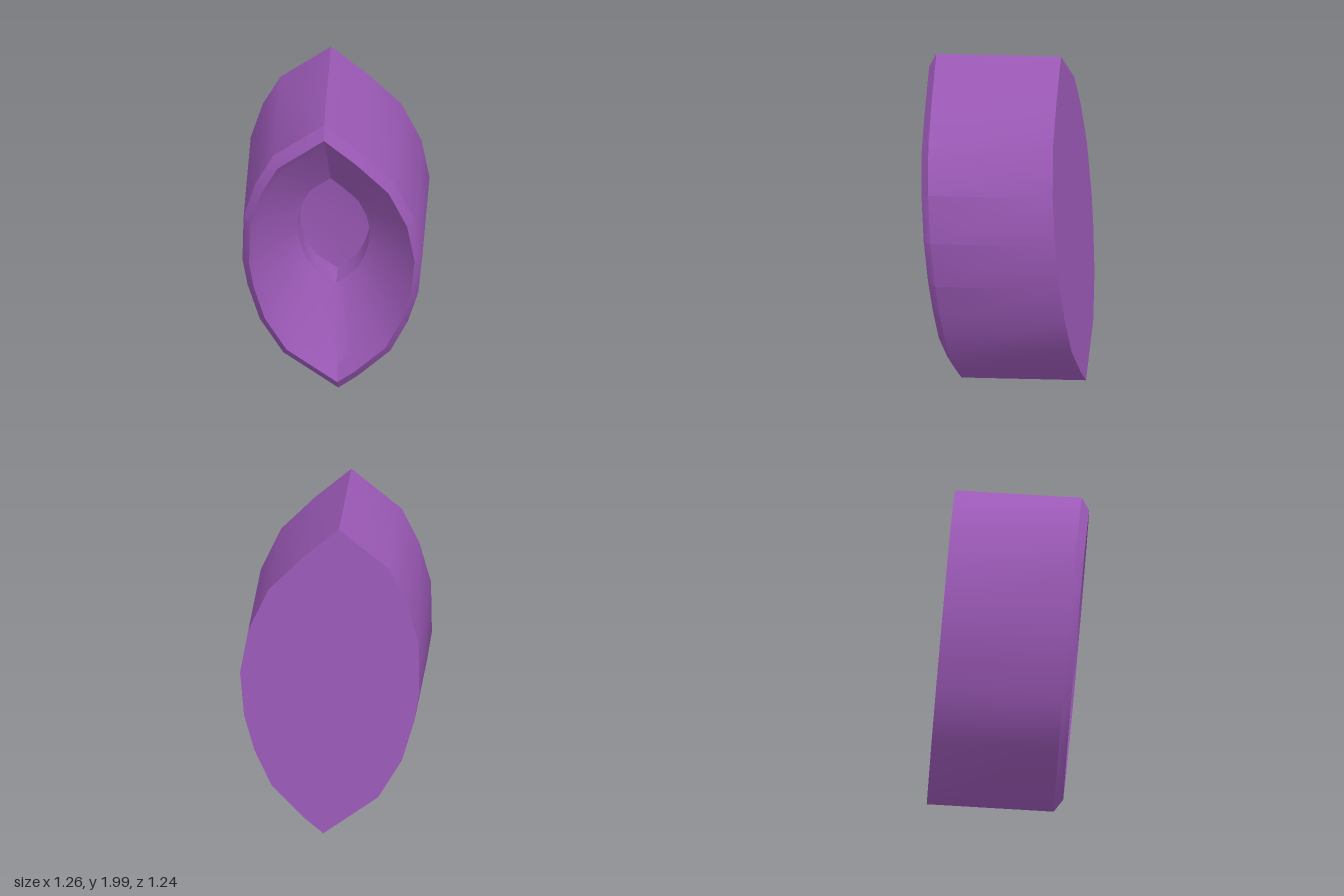
import * as THREE from 'three';
import { toCreasedNormals } from 'three/addons/utils/BufferGeometryUtils.js';

// Pointed-oval outline, counter-clockwise seen from the open side
const OUTLINE = [
  [0, 0.98], [-0.3, 0.75], [-0.41, 0.545], [-0.49, 0.295], [-0.51, -0.025],
  [-0.49, -0.21], [-0.43, -0.47], [-0.305, -0.72], [0, -0.98], [0.115, -0.89],
  [0.31, -0.7], [0.42, -0.48], [0.49, -0.26], [0.525, 0.01], [0.49, 0.29],
  [0.385, 0.56], [0.2, 0.78],
];

// Each ring: [outline scale, distance along the axis from the back]
const PROFILE = [
  [0, 0], [1, 0], // flat back
  [1, 0.729], [0.92, 0.777], // side wall and bevelled rim
  [0.83, 0.71], [0.4, 0.49], // inside of the rim and sloping dish
  [0.39, 0.36], [0, 0.32], // central pocket and its floor
];

// Skin the rings with quads, or triangles where a ring closes to a point
function loft(outline, profile) {
  const n = outline.length;
  const positions = [], index = [];
  for (const [s, w] of profile) {
    for (const [u, v] of outline) positions.push(u * s, v * s, w);
  }
  for (let i = 0; i < profile.length - 1; i++) {
    for (let j = 0; j < n; j++) {
      const k = (j + 1) % n;
      const a = i * n + j, b = i * n + k, c = b + n, d = a + n;
      if (profile[i][0] > 0) index.push(a, b, d);
      if (profile[i + 1][0] > 0) index.push(b, c, d);
      else if (profile[i][0] === 0) continue;
    }
  }
  const geometry = new THREE.BufferGeometry();
  geometry.setAttribute('position', new THREE.Float32BufferAttribute(positions, 3));
  geometry.setIndex(index);
  return geometry;
}

export function createModel() {
  const group = new THREE.Group();
  group.name = 'pointedOvalDish';

  // Slightly tilted frame: width, height and axis of the dish
  const frame = new THREE.Matrix4().makeBasis(
    new THREE.Vector3(0.766, 0.03, -0.642),
    new THREE.Vector3(0.024, 0.996, 0.087),
    new THREE.Vector3(0.645, -0.053, 0.763),
  ).setPosition(-0.25, 1.02, -0.28);

  const geometry = loft(OUTLINE, PROFILE).applyMatrix4(frame);
  const shell = new THREE.Mesh(
    toCreasedNormals(geometry, 0.75),
    new THREE.MeshStandardMaterial({ color: 0x9b59b6 }),
  );
  shell.name = 'dishShell';
  group.add(shell);
  return group;
}
